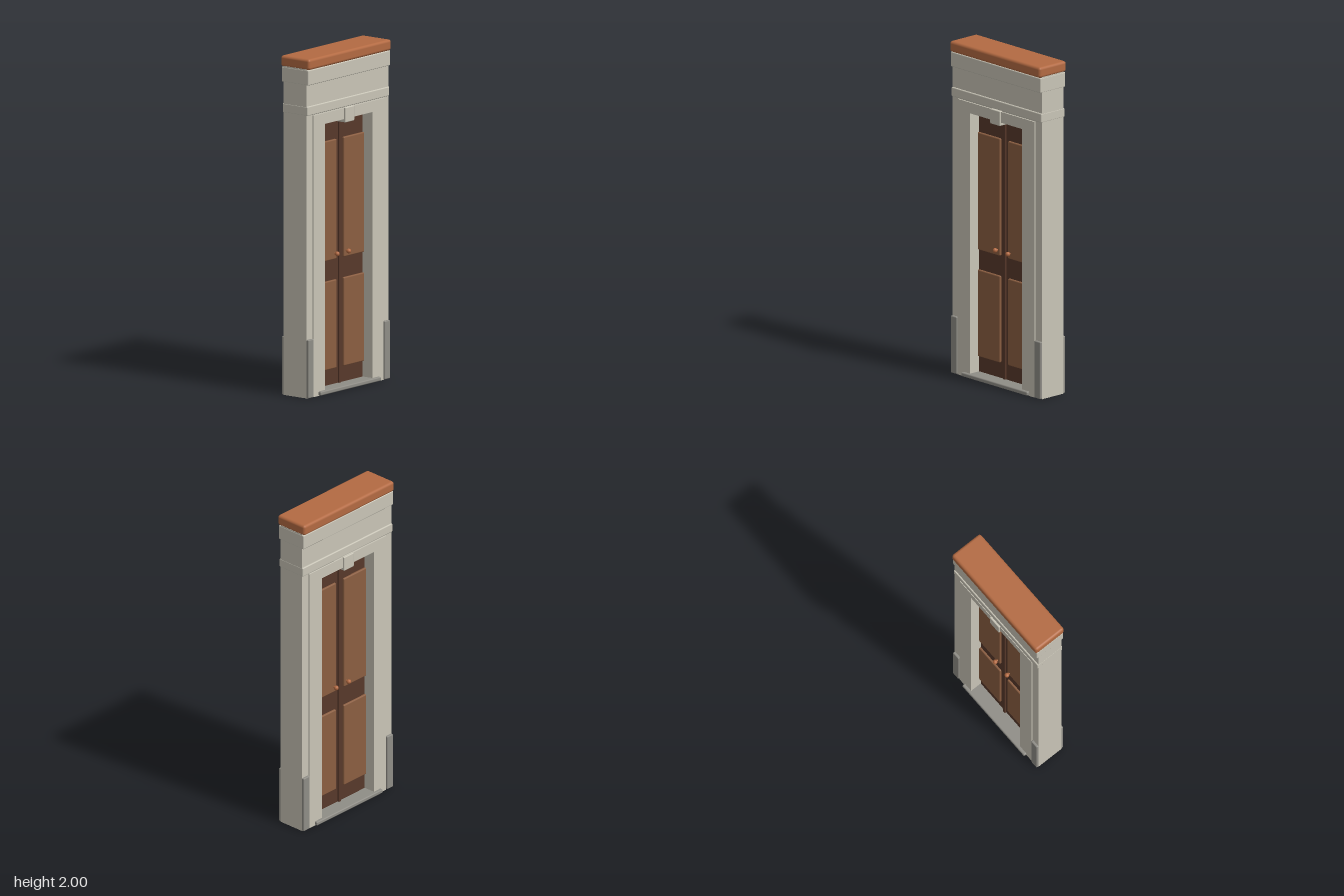
import * as THREE from 'three';
import { RoundedBoxGeometry } from 'three/addons/geometries/RoundedBoxGeometry.js';

const material = (name, color) => new THREE.MeshStandardMaterial({ name, color });

export function createModel() {
  const plaster = material('plaster', 0xc9c5b7);
  const stone = material('grey stone', 0x8f8d86);
  const terracotta = material('terracotta', 0xb36a42);
  const darkWood = material('dark wood', 0x57382a);
  const panelWood = material('panel wood', 0x8b5e41);

  const model = new THREE.Group();
  model.name = 'doorway';

  const add = (parent, name, geometry, mat, x = 0, y = 0, z = 0) => {
    const mesh = new THREE.Mesh(geometry, mat);
    mesh.name = name;
    mesh.position.set(x, y, z);
    parent.add(mesh);
    return mesh;
  };

  // Box given by its extents, with softly rounded edges when r > 0
  const block = (parent, name, mat, [x0, x1], [y0, y1], [z0, z1], r = 0) => {
    const size = [x1 - x0, y1 - y0, z1 - z0];
    const geometry = r ? new RoundedBoxGeometry(...size, 2, r) : new THREE.BoxGeometry(...size);
    return add(parent, name, geometry, mat, (x0 + x1) / 2, (y0 + y1) / 2, (z0 + z1) / 2);
  };

  // Upright arch outline: a rectangle with a door-shaped notch open at the foot
  const portal = (halfWidth, height, depth) => {
    const shape = new THREE.Shape([
      [-halfWidth, 0], [-0.22, 0], [-0.22, 1.595], [0.22, 1.595],
      [0.22, 0], [halfWidth, 0], [halfWidth, height], [-halfWidth, height],
    ].map(([x, y]) => new THREE.Vector2(x, y)));
    return new THREE.ExtrudeGeometry(shape, { depth, bevelEnabled: false }).translate(0, 0, -depth / 2);
  };

  // Wall, casing and roof slab
  add(model, 'wall', portal(0.38, 1.94, 0.17), plaster);
  add(model, 'casing', portal(0.325, 1.66, 0.188), plaster);
  block(model, 'cap', terracotta, [-0.383, 0.383], [1.935, 2], [-0.107, 0.107], 0.016);

  // Mouldings across the top, running through the wall
  block(model, 'cornice', plaster, [-0.381, 0.381], [1.845, 1.935], [-0.099, 0.099], 0.006);
  block(model, 'lintelBand', plaster, [-0.381, 0.381], [1.665, 1.72], [-0.093, 0.093], 0.006);

  // Threshold and corner plinths
  block(model, 'threshold', stone, [-0.28, 0.28], [0.003, 0.027], [-0.112, 0.112], 0.007);
  for (const s of [-1, 1]) {
    block(model, 'plinth', stone, [s * 0.354 - 0.0255, s * 0.354 + 0.0255], [0.001, 0.345], [-0.1, 0.1], 0.006);
  }

  // Door leaves
  for (const s of [-1, 1]) {
    block(model, 'doorLeaf', darkWood, [s * 0.113 - 0.108, s * 0.113 + 0.108], [0.01, 1.6], [-0.022, 0.022]);
  }
  block(model, 'meetingStile', darkWood, [-0.01, 0.01], [0.012, 1.6], [-0.032, 0.032], 0.004);

  // Panels, knobs and keystone, the same on both faces
  for (const turn of [0, Math.PI]) {
    const face = new THREE.Group();
    face.name = turn ? 'backFace' : 'frontFace';
    face.rotation.y = turn;
    model.add(face);
    block(face, 'keystone', plaster, [-0.042, 0.042], [1.575, 1.664], [0.02, 0.104], 0.005);
    for (const s of [-1, 1]) {
      for (const y of [[0.12, 0.642], [0.763, 1.47]]) {
        block(face, 'doorPanel', panelWood, [s * 0.129 - 0.096, s * 0.129 + 0.096], y, [0.008, 0.034], 0.007);
      }
      add(face, 'knob', new THREE.SphereGeometry(0.014, 16, 12), terracotta, s * 0.053, 0.797, 0.052);
      add(face, 'knobStem', new THREE.CylinderGeometry(0.006, 0.006, 0.02, 12).rotateX(Math.PI / 2),
        terracotta, s * 0.053, 0.797, 0.038);
    }
  }
  return model;
}
